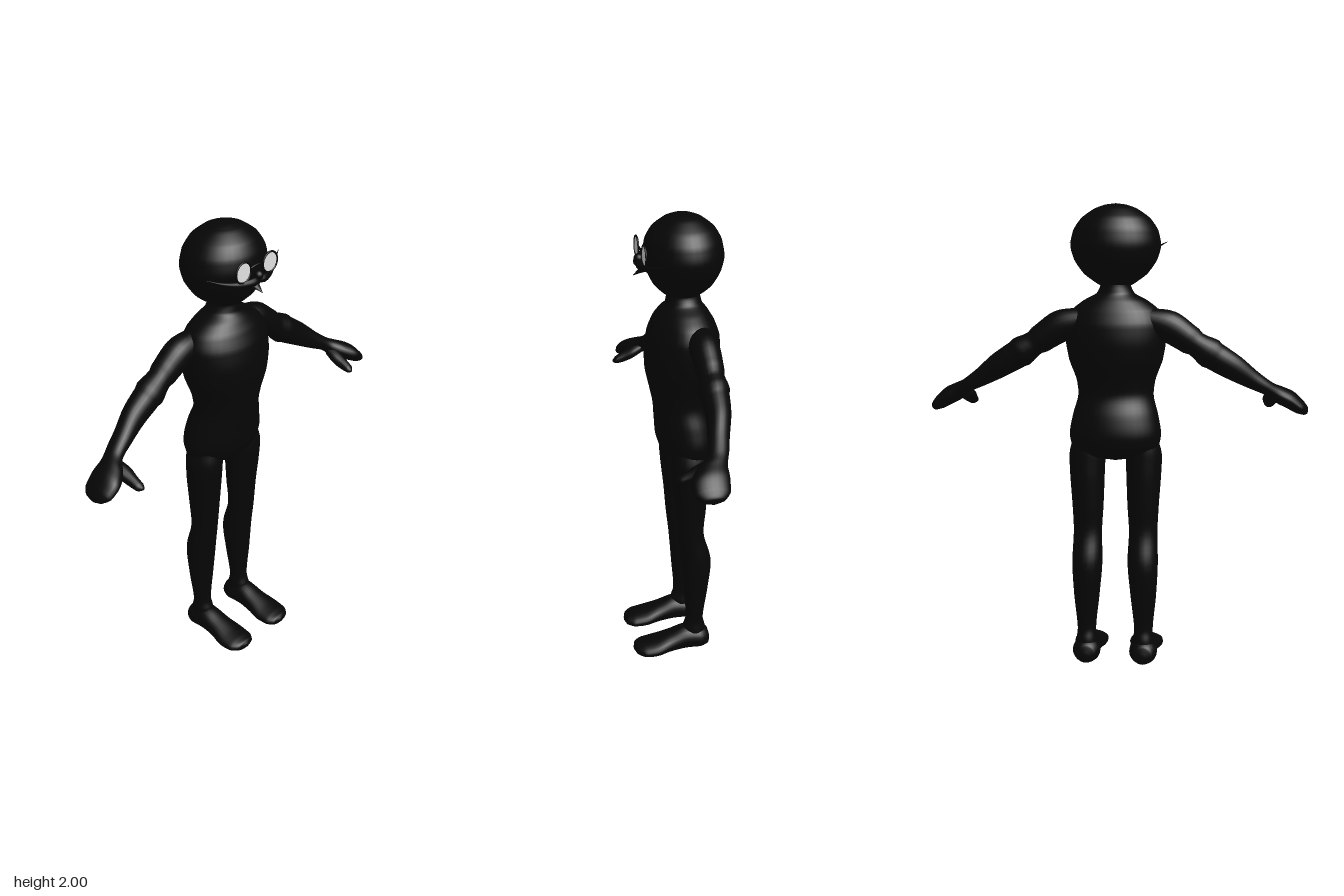
import * as THREE from 'three';

const X = new THREE.Vector3(1, 0, 0), Y = new THREE.Vector3(0, 1, 0), Z = new THREE.Vector3(0, 0, 1);

// Smooth elliptical loft. Each section is [cx, cy, cz, radius along U, radius along V].
function loft(sections, U, V, mirror = false, sides = 24, steps = 5) {
  const centres = new THREE.CatmullRomCurve3(sections.map(s => new THREE.Vector3(s[0], s[1], s[2])));
  const radii = new THREE.CatmullRomCurve3(sections.map(s => new THREE.Vector3(s[3], s[4], 0)));
  const rings = (sections.length - 1) * steps, sx = mirror ? -1 : 1;
  const pos = [], idx = [], p = new THREE.Vector3();
  const face = (a, b, c) => mirror ? idx.push(a, c, b) : idx.push(a, b, c);
  for (let i = 0; i <= rings; i++) {
    const c = centres.getPoint(i / rings), r = radii.getPoint(i / rings);
    for (let j = 0; j < sides; j++) {
      const a = j / sides * Math.PI * 2;
      p.copy(c).addScaledVector(U, Math.max(r.x, 0.001) * Math.cos(a))
        .addScaledVector(V, Math.max(r.y, 0.001) * Math.sin(a));
      pos.push(p.x * sx, p.y, p.z);
    }
  }
  for (let i = 0; i < rings; i++) {
    for (let j = 0; j < sides; j++) {
      const k = (j + 1) % sides, a = i * sides + j, b = i * sides + k;
      face(a, b, b + sides);
      face(a, b + sides, a + sides);
    }
  }
  // End caps
  const last = rings * sides, first = (rings + 1) * sides;
  for (const t of [0, 1]) {
    const c = centres.getPoint(t);
    pos.push(c.x * sx, c.y, c.z);
  }
  for (let j = 0; j < sides; j++) {
    const k = (j + 1) % sides;
    face(first, k, j);
    face(first + 1, last + j, last + k);
  }
  const g = new THREE.BufferGeometry();
  g.setAttribute('position', new THREE.Float32BufferAttribute(pos, 3));
  g.setIndex(idx);
  g.computeVertexNormals();
  return g;
}

// Upright section from height, half width, front z and back z
const level = (y, w, front, back, x = 0) => [x, y, (front + back) / 2, (front - back) / 2, w];

export function createModel() {
  const model = new THREE.Group();
  const black = new THREE.MeshStandardMaterial({ color: 0x060606 });
  black.name = 'black';
  const white = new THREE.MeshStandardMaterial({ color: 0xe2e2e2, side: THREE.DoubleSide });
  white.name = 'lensWhite';
  const add = (name, geometry, material = black) => {
    const mesh = new THREE.Mesh(geometry, material);
    mesh.name = name;
    model.add(mesh);
    return mesh;
  };

  // Torso and neck
  add('torso', loft([
    level(0.92, 0.02, -0.03, -0.07), level(0.94, 0.12, 0.02, -0.14), level(0.98, 0.185, 0.055, -0.18),
    level(1.04, 0.196, 0.072, -0.192), level(1.12, 0.182, 0.078, -0.178), level(1.2, 0.162, 0.085, -0.15),
    level(1.26, 0.168, 0.098, -0.158), level(1.35, 0.2, 0.116, -0.185), level(1.43, 0.213, 0.116, -0.196),
    level(1.5, 0.212, 0.104, -0.192), level(1.56, 0.185, 0.078, -0.17), level(1.6, 0.135, 0.052, -0.145),
    level(1.63, 0.08, 0.03, -0.122), level(1.66, 0.065, 0.025, -0.115), level(1.72, 0.06, 0.02, -0.11),
  ], Z, X, false, 36));

  // Head
  add('head', loft([
    level(1.65, 0.04, 0.0, -0.08), level(1.67, 0.078, 0.035, -0.12), level(1.71, 0.133, 0.078, -0.165),
    level(1.77, 0.175, 0.108, -0.198), level(1.83, 0.19, 0.12, -0.21), level(1.89, 0.178, 0.112, -0.2),
    level(1.94, 0.144, 0.085, -0.172), level(1.98, 0.086, 0.034, -0.12), level(1.995, 0.042, -0.006, -0.08),
    level(2.0, 0.002, -0.042, -0.046),
  ], Z, X, false, 36));

  const armU = new THREE.Vector3(0.54, 0.84, 0);
  for (const [side, mirror] of [['left', false], ['right', true]]) {
    const sx = mirror ? -1 : 1;

    // Leg
    add(side + 'Leg', loft([
      level(1.02, 0.06, 0.02, -0.13, 0.12), level(0.94, 0.078, 0.032, -0.132, 0.122),
      level(0.85, 0.075, 0.026, -0.13, 0.122), level(0.72, 0.068, 0.012, -0.12, 0.12),
      level(0.6, 0.062, 0.002, -0.112, 0.121), level(0.47, 0.066, -0.012, -0.145, 0.121),
      level(0.32, 0.056, -0.024, -0.132, 0.124), level(0.17, 0.041, -0.034, -0.112, 0.125),
      level(0.12, 0.046, -0.02, -0.122, 0.125), level(0.05, 0.055, -0.02, -0.125, 0.125),
    ].reverse(), Z, X, mirror));

    // Foot
    add(side + 'Foot', loft([
      [0.125, 0.055, -0.142, 0.012, 0.012], [0.125, 0.062, -0.132, 0.042, 0.04],
      [0.125, 0.068, -0.09, 0.061, 0.056], [0.125, 0.07, -0.03, 0.058, 0.057],
      [0.125, 0.056, 0.04, 0.062, 0.046], [0.126, 0.041, 0.11, 0.075, 0.037],
      [0.125, 0.037, 0.165, 0.071, 0.03], [0.122, 0.037, 0.197, 0.046, 0.021],
      [0.12, 0.037, 0.208, 0.01, 0.008],
    ], X, Y, mirror));

    // Arm and hand
    add(side + 'Arm', loft([
      [0.1, 1.53, -0.08, 0.05, 0.05], [0.22, 1.497, -0.08, 0.068, 0.062], [0.32, 1.435, -0.08, 0.06, 0.056],
      [0.42, 1.37, -0.074, 0.06, 0.056], [0.5, 1.322, -0.066, 0.054, 0.05], [0.58, 1.27, -0.045, 0.04, 0.044],
      [0.645, 1.232, -0.025, 0.031, 0.043], [0.69, 1.204, 0.008, 0.037, 0.06], [0.74, 1.178, 0.027, 0.038, 0.075],
      [0.785, 1.146, 0.032, 0.03, 0.07], [0.81, 1.128, 0.032, 0.018, 0.043], [0.816, 1.12, 0.032, 0.005, 0.01],
    ], armU, Z, mirror));

    // Thumb
    add(side + 'Thumb', loft([
      [0.67, 1.2, 0.0, 0.035, 0.026], [0.66, 1.18, 0.045, 0.034, 0.028], [0.657, 1.16, 0.09, 0.025, 0.025],
      [0.655, 1.148, 0.125, 0.02, 0.017], [0.652, 1.144, 0.14, 0.006, 0.005],
    ], X, Y, mirror, 14));

    // Round lens with a thin rim, standing just clear of the face
    const lens = add(side + 'Lens', new THREE.CircleGeometry(0.04, 24), white);
    lens.position.set(0.077 * sx, 1.853, 0.132);
    const rim = add(side + 'LensRim', new THREE.TorusGeometry(0.042, 0.004, 8, 28));
    rim.position.copy(lens.position);

    // Pointed moustache half
    add(side + 'Moustache', loft([
      [-0.005, 1.805, 0.135, 0.012, 0.014], [0.03, 1.803, 0.142, 0.017, 0.014], [0.09, 1.802, 0.122, 0.013, 0.011],
      [0.15, 1.815, 0.09, 0.008, 0.008], [0.21, 1.842, 0.06, 0.001, 0.001],
    ], Y, Z, mirror, 12));
  }

  // Bridge between the lenses
  add('lensBridge', new THREE.TubeGeometry(new THREE.QuadraticBezierCurve3(
    new THREE.Vector3(-0.037, 1.86, 0.132), new THREE.Vector3(0, 1.875, 0.14),
    new THREE.Vector3(0.037, 1.86, 0.132)), 12, 0.004, 8));

  // Nose and chin tuft
  const nose = add('nose', new THREE.SphereGeometry(0.02, 16, 12));
  nose.position.set(0, 1.823, 0.14);
  add('chinTuft', loft([
    [0, 1.79, 0.09, 0.03, 0.02], [0, 1.778, 0.125, 0.02, 0.013], [0, 1.755, 0.163, 0.001, 0.001],
  ], X, Y, false, 12));

  return model;
}
